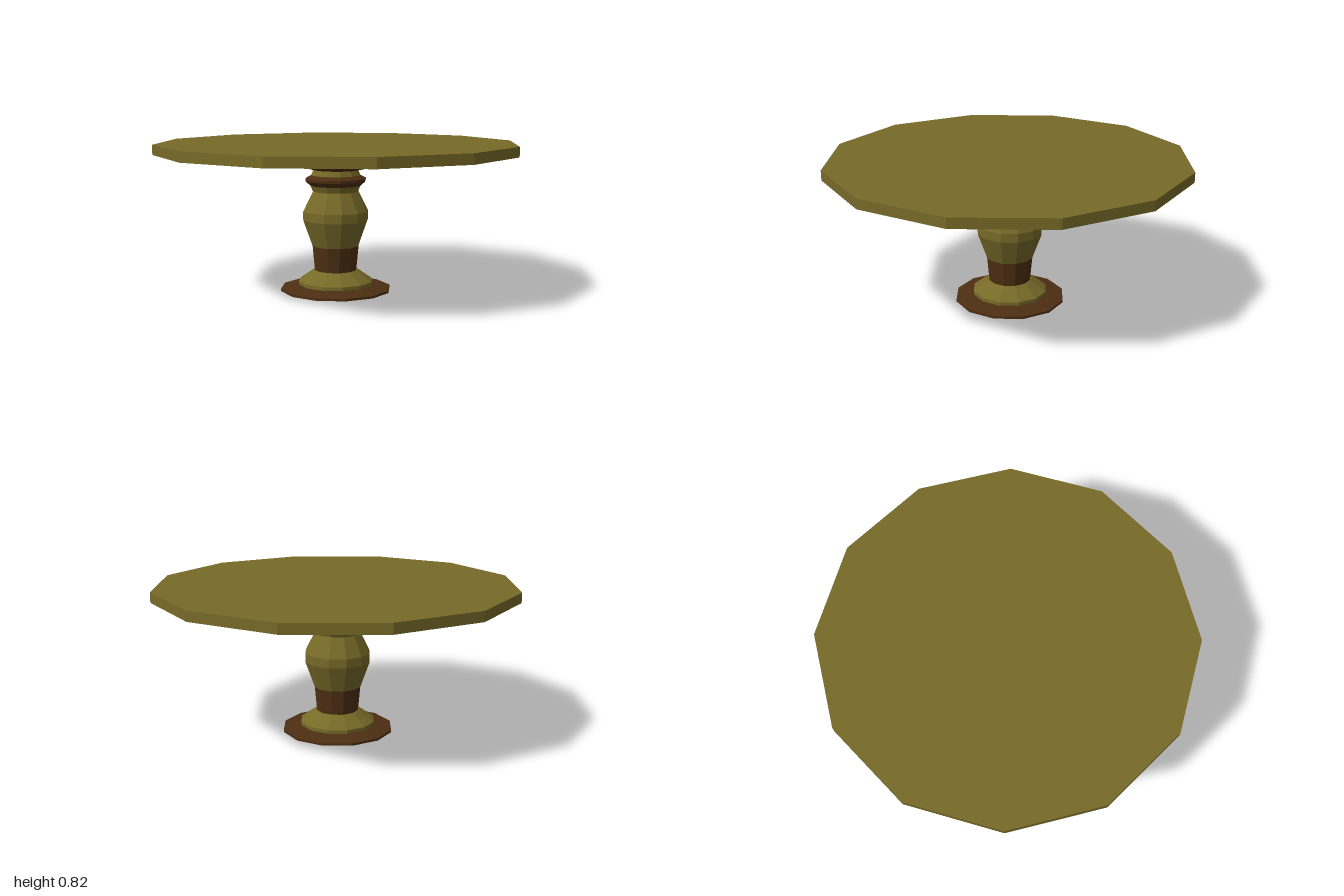
import * as THREE from 'three';

const SIDES = 12;

export function createModel() {
  const table = new THREE.Group();
  table.name = 'pedestalTable';

  const oliveWood = new THREE.MeshStandardMaterial({ color: 0x776a28, flatShading: true });
  oliveWood.name = 'olive wood';
  const darkWood = new THREE.MeshStandardMaterial({ color: 0x4d2e12, flatShading: true });
  darkWood.name = 'dark brown wood';

  // Turned part from [radius, height] points, bottom to top
  function turned(name, material, profile, parent) {
    const points = profile.map(([r, y]) => new THREE.Vector2(r, y));
    const mesh = new THREE.Mesh(new THREE.LatheGeometry(points, SIDES), material);
    mesh.name = name;
    parent.add(mesh);
    return mesh;
  }

  // Twelve-sided top
  turned('tabletop', oliveWood, [[0, 0.77], [1, 0.77], [1, 0.825], [0, 0.825]], table);

  // Column sits very slightly behind the centre of the top
  const pedestal = new THREE.Group();
  pedestal.name = 'pedestal';
  pedestal.position.z = -0.012;
  table.add(pedestal);

  turned('footPlate', darkWood, [[0, 0], [0.31, 0], [0.31, 0.013], [0.205, 0.03]], pedestal);
  turned('footMoulding', oliveWood, [[0.205, 0.03], [0.21, 0.033], [0.21, 0.053], [0.125, 0.113], [0.115, 0.113]], pedestal);
  turned('lowerShaft', darkWood, [[0.118, 0.11], [0.131, 0.25]], pedestal);
  turned('baluster', oliveWood, [[0.131, 0.25], [0.183, 0.395], [0.183, 0.445], [0.128, 0.555], [0.142, 0.588]], pedestal);
  turned('neckRing', darkWood, [[0.142, 0.588], [0.17, 0.613], [0.17, 0.628], [0.138, 0.645]], pedestal);
  turned('neck', oliveWood, [[0.138, 0.645], [0.126, 0.676]], pedestal);

  // Flared support under the top
  const collar = turned('topSupport', darkWood,
    [[0, 0.675], [0.13, 0.675], [0.29, 0.713], [0.332, 0.745], [0.348, 0.771]], table);
  collar.position.z = -0.006;

  return table;
}
